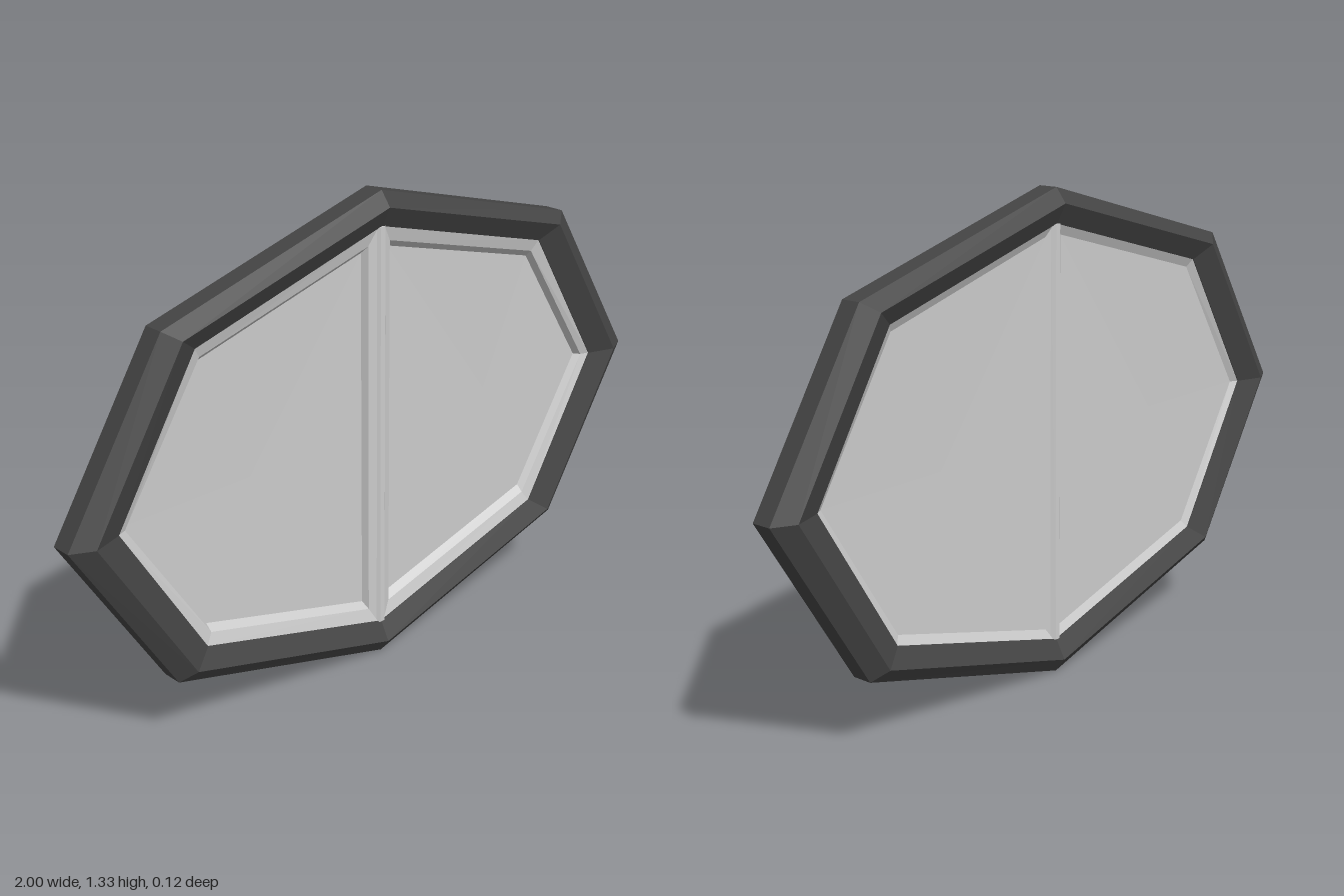
import * as THREE from 'three';

const MID = 0.667; // height of the window's centre line

// Skins a list of equal-length rings (counter-clockwise seen from +z)
function loft(rings, closed = false) {
  const n = rings[0].length, pos = [];
  const last = closed ? rings.length : rings.length - 1;
  for (let i = 0; i < last; i++) {
    const p = rings[i], q = rings[(i + 1) % rings.length];
    for (let j = 0; j < n; j++) {
      const k = (j + 1) % n;
      pos.push(...p[j], ...p[k], ...q[k], ...p[j], ...q[k], ...q[j]);
    }
  }
  const g = new THREE.BufferGeometry();
  g.setAttribute('position', new THREE.Float32BufferAttribute(pos, 3));
  g.computeVertexNormals();
  return g;
}

// Stretched octagon: side tip, slanted corner, top tip
function octagon(side, cx, cy, top, z) {
  return [[side, 0], [cx, cy], [0, top], [-cx, cy], [-side, 0], [-cx, -cy], [0, -top], [cx, -cy]]
    .map(([x, y]) => [x, MID + y, z]);
}

// Half of the octagon, cut off at x = inner; s = 1 or -1 picks the half
function half(s, inner, top, cx, cy, side, z) {
  const pts = [[inner, -top], [cx, -cy], [side, 0], [cx, cy], [inner, top]]
    .map(([x, y]) => [s * x, MID + y, z]);
  return s > 0 ? pts : pts.reverse();
}

export function createModel() {
  const group = new THREE.Group();
  const dark = new THREE.MeshStandardMaterial({ color: 0x444444, flatShading: true });
  const grey = new THREE.MeshStandardMaterial({ color: 0xcccccc, flatShading: true });
  const add = (name, geometry, material) => {
    const mesh = new THREE.Mesh(geometry, material);
    mesh.name = name;
    group.add(mesh);
  };

  // Bevelled outer frame
  const outer = z => octagon(1, 0.705, 0.47, 0.667, z);
  const ridge = z => octagon(0.94, 0.665, 0.443, 0.627, z);
  const inner = z => octagon(0.857, 0.61, 0.403, 0.573, z);
  add('outerFrame', loft([
    outer(-0.028), outer(0.028), ridge(0.0585), inner(0.03), inner(-0.03), ridge(-0.0585),
  ], true), dark);

  for (const s of [1, -1]) {
    const side = s > 0 ? 'left' : 'right';
    const edge = z => half(s, 0.012, 0.57, 0.61, 0.403, 0.857, z);
    const lip = half(s, 0.038, 0.525, 0.59, 0.374, 0.832, 0.019);
    const floor = half(s, 0.046, 0.505, 0.59, 0.356, 0.82, 0.0);
    const back = half(s, 0.03, 0.54, 0.595, 0.382, 0.835, -0.016);
    const centre = z => edge(0).map(() => [s * 0.43, MID, z]);

    // Sash rim sloping down to the recessed pane
    add(side + 'SashRim', loft([back, edge(-0.028), edge(0.028), lip, floor]), grey);
    // Slightly dished pane, front and back
    add(side + 'Pane', loft([floor, centre(-0.003)]), grey);
    add(side + 'PaneBack', loft([centre(-0.013), back]), grey);
  }

  // Bevelled centre bar between the two sashes
  const bar = new THREE.Shape([
    [-0.018, -0.024], [-0.008, -0.034], [0.008, -0.034], [0.018, -0.024],
    [0.018, 0.024], [0.008, 0.034], [-0.008, 0.034], [-0.018, 0.024],
  ].map(([x, y]) => new THREE.Vector2(x, y)));
  const barGeometry = new THREE.ExtrudeGeometry(bar, { depth: 1.144, bevelEnabled: false });
  barGeometry.translate(0, 0, -0.572).rotateX(-Math.PI / 2).translate(0, MID, 0);
  add('centreBar', barGeometry, grey);

  return group;
}
